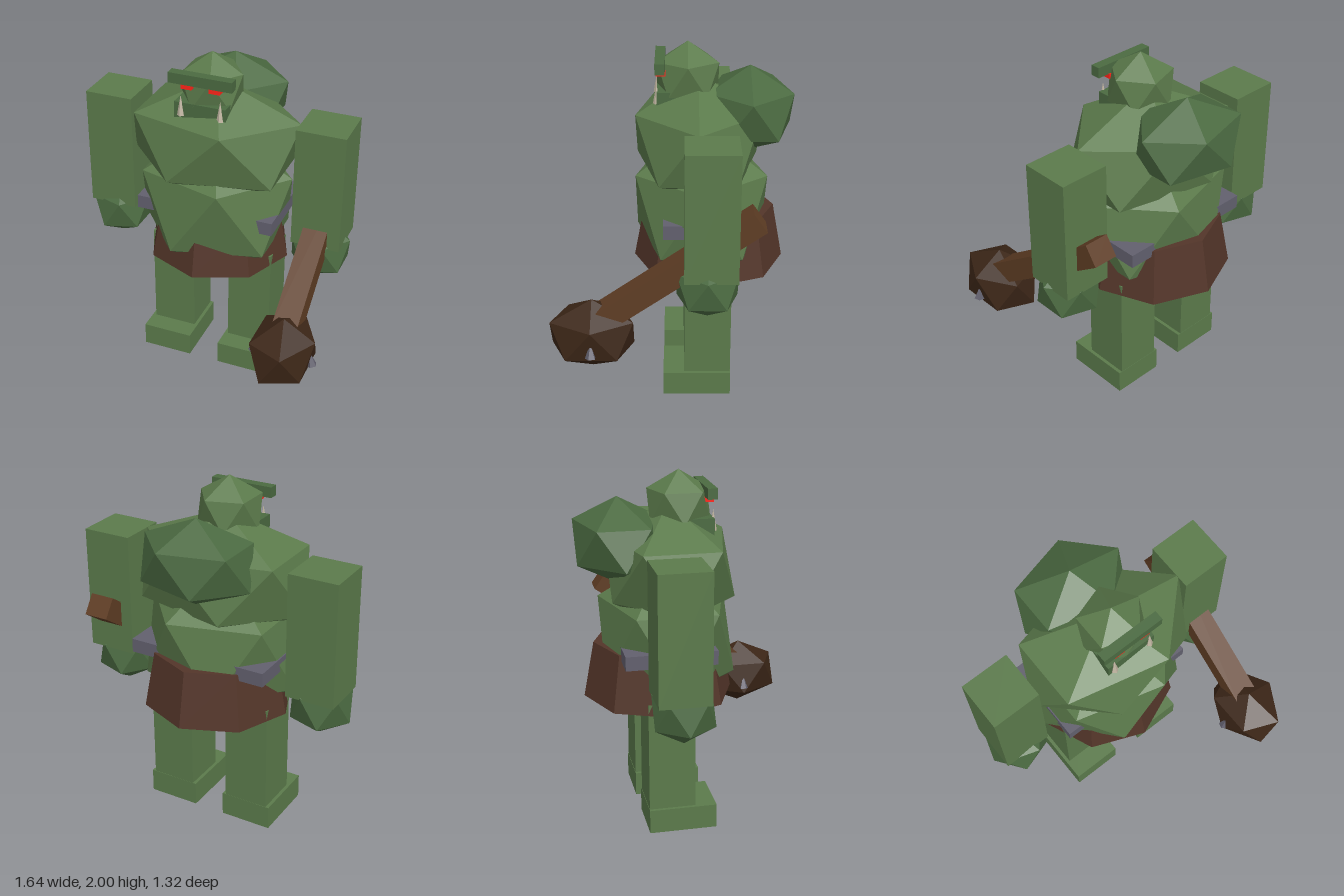
import * as THREE from 'three';

const mat = (color) => new THREE.MeshStandardMaterial({ color, flatShading: true, roughness: 0.9 });

// Twelve-point faceted ball with its poles on the y axis
function facetedBall(rx, ry, rz) {
  const pts = [[0, 1, 0]];
  const h = 1 / Math.sqrt(5), r = 2 * h;
  for (const [start, y] of [[0, h], [Math.PI / 5, -h]]) {
    for (let i = 0; i < 5; i++) {
      const a = start + (i * 2 * Math.PI) / 5;
      pts.push([r * Math.cos(a), y, r * Math.sin(a)]);
    }
  }
  pts.push([0, -1, 0]);
  const index = [];
  for (let i = 0; i < 5; i++) {
    const u = 1 + i, un = 1 + ((i + 1) % 5), l = 6 + i, ln = 6 + ((i + 1) % 5);
    index.push(0, un, u, u, un, l, un, ln, l, 11, l, ln);
  }
  const geo = new THREE.BufferGeometry();
  geo.setAttribute('position', new THREE.Float32BufferAttribute(pts.flat(), 3));
  geo.setIndex(index);
  geo.scale(rx, ry, rz);
  const flat = geo.toNonIndexed();
  flat.computeVertexNormals();
  return flat;
}

export function createModel() {
  const model = new THREE.Group();
  model.name = 'clubBrute';
  const skin = mat(0x5b7a4b);
  const darkSkin = mat(0x4b6a41);
  const leather = mat(0x533529);
  const metal = mat(0x62606e);
  const wood = mat(0x5f3d24);
  const darkWood = mat(0x3c2617);
  const bone = mat(0xc4b8a4);
  const red = mat(0xff2418);
  const cx = -0.01; // body centre line

  const add = (name, geo, material, x, y, z) => {
    const mesh = new THREE.Mesh(geo, material);
    mesh.name = name;
    mesh.position.set(x, y, z);
    model.add(mesh);
    return mesh;
  };
  const ball = (name, material, r, p) => add(name, facetedBall(...r), material, ...p);
  // Box given by its limits on each axis
  const box = (name, material, [x0, x1], [y0, y1], [z0, z1]) =>
    add(name, new THREE.BoxGeometry(x1 - x0, y1 - y0, z1 - z0), material,
      (x0 + x1) / 2, (y0 + y1) / 2, (z0 + z1) / 2);

  // Torso
  ball('chest', skin, [0.565, 0.36, 0.405], [cx, 1.465, -0.138]);
  ball('belly', skin, [0.51, 0.46, 0.432], [cx, 1.06, -0.158]);
  ball('hump', darkSkin, [0.36, 0.245, 0.278], [cx, 1.62, -0.425]);

  // Belt plate, of which only the corners show, and the skirt
  box('belt', metal, [-0.425, 0.405], [1.0, 1.08], [-0.455, 0.055]);
  add('skirt', new THREE.CylinderGeometry(0.37, 0.43, 0.32, 8), leather, cx, 0.875, -0.205);

  // Head
  ball('head', skin, [0.2, 0.195, 0.2], [cx, 1.805, -0.08]);
  box('brow', darkSkin, [cx - 0.185, cx + 0.185], [1.86, 1.92], [0.045, 0.1]);
  box('jaw', darkSkin, [-0.165, 0.135], [1.655, 1.75], [-0.09, 0.09]);

  for (const [side, s] of [['left', 1], ['right', -1]]) {
    // Face details
    box(side + 'Eye', red, [cx + s * 0.082 - 0.032, cx + s * 0.082 + 0.032], [1.833, 1.862], [0.04, 0.094]);
    add(side + 'Tusk', new THREE.ConeGeometry(0.021, 0.12, 5), bone, cx + s * 0.115, 1.735, 0.09);

    // Arm and fist
    const ax = cx + s * 0.637;
    box(side + 'Arm', skin, [ax - 0.143, ax + 0.143], [0.915, 1.63], [-0.345, -0.06]);
    ball(side + 'Hand', darkSkin, [0.193, 0.187, 0.193], [ax, 0.842, -0.185]);

    // Leg and foot
    const lx = cx + s * 0.245;
    box(side + 'Leg', skin, [lx - 0.132, lx + 0.132], [0.1, 0.775], [-0.329, -0.065]);
    box(side + 'Foot', skin, [lx - 0.152, lx + 0.152], [0, 0.14], [-0.331, 0.055]);
  }

  // Club: slanted handle, heavy head and two spikes
  const clubX = 0.625;
  const handle = add('clubHandle', new THREE.BoxGeometry(0.143, 0.125, 1.04), wood, clubX, 0.93, -0.028);
  handle.rotation.x = THREE.MathUtils.degToRad(35);
  ball('clubHead', darkWood, [0.205, 0.2025, 0.264], [clubX, 0.5475, 0.436]);
  for (const s of [1, -1]) {
    const spike = add('clubSpike', new THREE.ConeGeometry(0.03, 0.09, 5), metal, clubX + s * 0.162, 0.53, 0.436);
    spike.rotation.z = s * 0.2;
  }
  return model;
}
